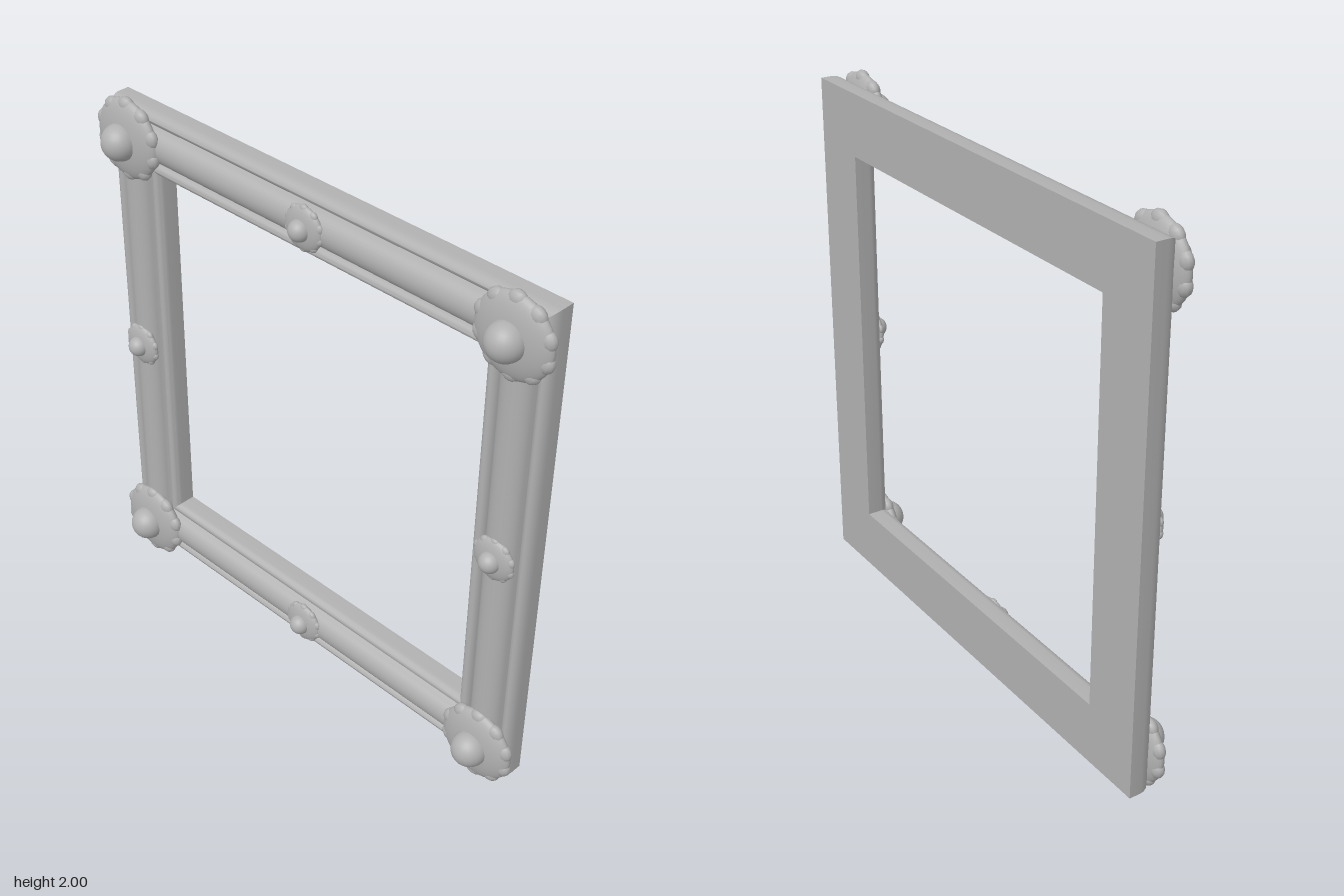
import * as THREE from 'three';
import { toCreasedNormals } from 'three/addons/utils/BufferGeometryUtils.js';

const MID = 0.845; // distance from frame centre to the middle of each bar

// Points of a half-ellipse bead across the moulding, from inside to outside
function bead(u, z, ru, rz, n, from = Math.PI, to = 0) {
  return Array.from({ length: n + 1 }, (_, i) => {
    const a = from + (to - from) * i / n;
    return [u + ru * Math.cos(a), z + rz * Math.sin(a)];
  });
}

// Moulding section: [distance from frame centre, z]
const profile = [
  [0.73, -0.105],
  ...bead(0.751, -0.05, 0.021, 0.028, 8),
  ...bead(MID, -0.045, 0.062, 0.05, 14, Math.PI * 0.93, Math.PI * 0.07),
  ...bead(0.936, -0.06, 0.024, 0.038, 8),
  [0.96, -0.105],
];

// One mitred bar running between two neighbouring corners
function barGeometry(c0, c1) {
  const pos = [];
  const at = ([u, z], c) => [c[0] * u, 1 + c[1] * u, z];
  profile.forEach((p, i) => {
    const q = profile[(i + 1) % profile.length];
    const [a, b, c, d] = [at(p, c0), at(q, c0), at(q, c1), at(p, c1)];
    pos.push(...a, ...b, ...c, ...a, ...c, ...d);
  });
  const geo = new THREE.BufferGeometry();
  geo.setAttribute('position', new THREE.Float32BufferAttribute(pos, 3));
  return toCreasedNormals(geo, 0.6);
}

// Flattened disc, ring of small petals and a round boss
function rosette(name, { disc, depth, petal, ring, boss, bossZ }, mat) {
  const g = new THREE.Group();
  g.name = name;
  const add = (label, geo) => {
    const m = new THREE.Mesh(geo, mat);
    m.name = label;
    g.add(m);
    return m;
  };
  const discGeo = new THREE.SphereGeometry(disc, 32, 20).rotateX(Math.PI / 2);
  add('rosetteDisc', discGeo).scale.z = depth / disc;
  const petalGeo = new THREE.SphereGeometry(petal, 12, 8);
  for (let i = 0; i < 10; i++) {
    const a = Math.PI / 2 + i * Math.PI / 5;
    const m = add('rosettePetal', petalGeo);
    m.position.set(Math.cos(a) * ring, Math.sin(a) * ring, 0);
    m.rotation.z = a;
    m.scale.set(1, 1.15, 0.75);
  }
  add('rosetteBoss', new THREE.SphereGeometry(boss, 24, 16)).position.z = bossZ;
  return g;
}

export function createModel() {
  const model = new THREE.Group();
  model.name = 'ornateFrame';
  const mat = new THREE.MeshStandardMaterial({ color: 0xb0b0b0 });
  mat.name = 'plainGrey';

  // Four mitred bars
  const corners = [[1, -1], [1, 1], [-1, 1], [-1, -1]];
  ['leftBar', 'topBar', 'rightBar', 'bottomBar'].forEach((name, i) => {
    const m = new THREE.Mesh(barGeometry(corners[i], corners[(i + 1) % 4]), mat);
    m.name = name;
    model.add(m);
  });

  // Large rosettes on the corners, small ones at the middle of each bar
  const large = { disc: 0.146, depth: 0.042, petal: 0.03, ring: 0.125, boss: 0.066, bossZ: 0.039 };
  const small = { disc: 0.08, depth: 0.025, petal: 0.016, ring: 0.069, boss: 0.038, bossZ: 0.021 };
  for (const [x, y] of corners) {
    const r = rosette('cornerRosette', large, mat);
    r.position.set(x * MID, 1 + y * MID, 0);
    model.add(r);
  }
  for (const [x, y] of [[1, 0], [0, 1], [-1, 0], [0, -1]]) {
    const r = rosette('middleRosette', small, mat);
    r.position.set(x * MID, 1 + y * MID, 0);
    model.add(r);
  }
  return model;
}
